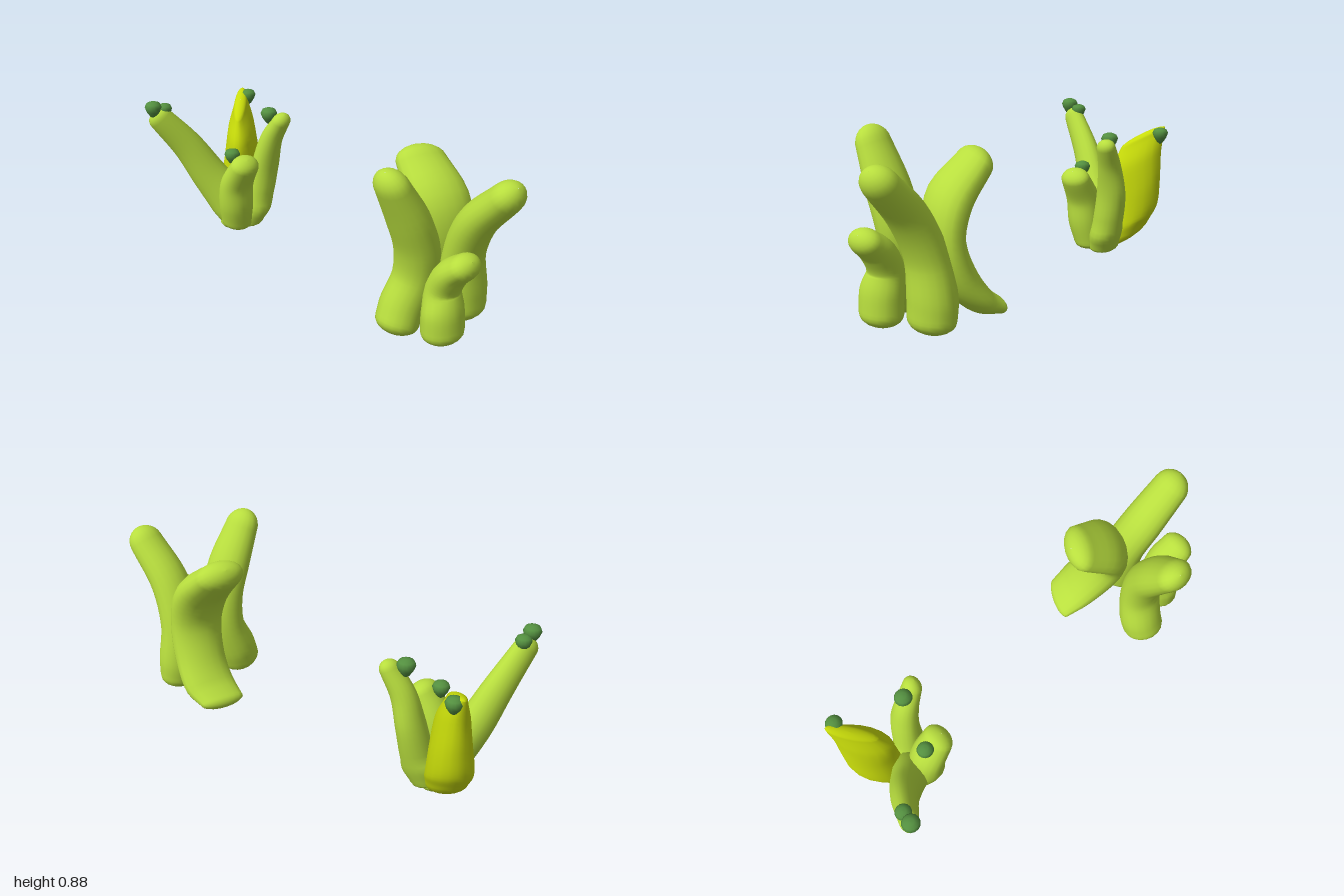
import * as THREE from 'three';

const LIME = new THREE.MeshStandardMaterial({ color: 0xb8de3e });
const YELLOW = new THREE.MeshStandardMaterial({ color: 0xc8dc0a });
const GREEN = new THREE.MeshStandardMaterial({ color: 0x549040 });
const SIDES = 18, STEPS = 22, CAP = 6;

// Fleshy lobe: sections are [x, y, z, halfWidth, halfDepth] from foot to tip,
// the width runs along "side"; both ends close with domes of the given heights.
function lobeGeometry(sections, side, footHeight, tipHeight) {
  const path = new THREE.CatmullRomCurve3(sections.map(s => new THREE.Vector3(s[0], s[1], s[2])));
  const radii = new THREE.CatmullRomCurve3(sections.map(s => new THREE.Vector3(s[3], s[4], 0)));
  const across = new THREE.Vector3(...side).normalize();
  const rings = [];
  for (let i = CAP; i > 0; i--) {
    const f = (i / CAP) * Math.PI / 2;
    rings.push([0, -footHeight * Math.sin(f), Math.max(0.02, Math.cos(f))]);
  }
  for (let i = 0; i <= STEPS; i++) rings.push([i / STEPS, 0, 1]);
  for (let i = 1; i <= CAP; i++) {
    const f = (i / CAP) * Math.PI / 2;
    rings.push([1, tipHeight * Math.sin(f), Math.max(0.02, Math.cos(f))]);
  }
  const positions = [], index = [];
  rings.forEach(([t, offset, scale], i) => {
    const tangent = path.getTangent(t);
    const center = path.getPoint(t).addScaledVector(tangent, offset);
    const depth = new THREE.Vector3().crossVectors(tangent, across).normalize();
    const r = radii.getPoint(t);
    for (let j = 0; j < SIDES; j++) {
      const angle = (j / SIDES) * Math.PI * 2;
      const p = center.clone()
        .addScaledVector(across, Math.cos(angle) * r.x * scale)
        .addScaledVector(depth, Math.sin(angle) * r.y * scale);
      positions.push(p.x, p.y, p.z);
      if (i < rings.length - 1) {
        const k = (j + 1) % SIDES, a = i * SIDES, b = a + SIDES;
        index.push(a + j, a + k, b + j, a + k, b + k, b + j);
      }
    }
  });
  const geometry = new THREE.BufferGeometry();
  geometry.setAttribute('position', new THREE.Float32BufferAttribute(positions, 3));
  geometry.setIndex(index);
  geometry.computeVertexNormals();
  return geometry;
}

function addLobe(group, name, material, side, footHeight, tipHeight, sections) {
  const mesh = new THREE.Mesh(lobeGeometry(sections, side, footHeight, tipHeight), material);
  mesh.name = name;
  group.add(mesh);
}

// Rounded bud, tapering downwards
const budProfile = [[0, -0.045], [0.018, -0.03], [0.034, -0.005], [0.042, 0.018], [0.034, 0.036], [0.016, 0.044], [0, 0.045]];
const budGeometry = new THREE.LatheGeometry(budProfile.map(p => new THREE.Vector2(...p)), 14);

export function createModel() {
  const model = new THREE.Group();
  model.name = 'succulentPair';

  // Front clump: four splayed lobes
  const front = new THREE.Group();
  front.name = 'frontClump';
  addLobe(front, 'frontLobe', LIME, [1, 0, 0], 0.065, 0.085, [
    [0.19, 0.11, 0.695, 0.117, 0.095], [0.19, 0.2, 0.69, 0.118, 0.1], [0.172, 0.38, 0.7, 0.105, 0.09],
    [0.15, 0.57, 0.78, 0.1, 0.085], [0.147, 0.74, 0.93, 0.088, 0.072]]);
  addLobe(front, 'backLobe', LIME, [0.9, 0, 0.35], 0.04, 0.075, [
    [0.25, 0.1, 0.365, 0.11, 0.037], [0.235, 0.15, 0.46, 0.125, 0.065], [0.2, 0.27, 0.55, 0.125, 0.08],
    [0.17, 0.43, 0.59, 0.13, 0.08], [0.16, 0.59, 0.55, 0.143, 0.09], [0.182, 0.728, 0.412, 0.118, 0.072]]);
  addLobe(front, 'sideLobe', LIME, [0, 0, 1], 0.06, 0.09, [
    [-0.122, 0.105, 0.59, 0.1, 0.1], [-0.095, 0.18, 0.59, 0.103, 0.1], [-0.05, 0.32, 0.615, 0.105, 0.09],
    [-0.057, 0.46, 0.63, 0.11, 0.092], [-0.112, 0.61, 0.63, 0.11, 0.088], [-0.205, 0.79, 0.62, 0.088, 0.068]]);
  addLobe(front, 'shortLobe', LIME, [1, 0, 0], 0.06, 0.06, [
    [-0.03, 0.105, 0.775, 0.104, 0.09], [-0.03, 0.2, 0.77, 0.104, 0.087], [-0.018, 0.3, 0.755, 0.086, 0.077],
    [-0.015, 0.39, 0.8, 0.09, 0.07], [-0.017, 0.45, 0.865, 0.083, 0.06]]);
  model.add(front);

  // Back clump: three green lobes and a broad yellow leaf, all tipped with buds
  const back = new THREE.Group();
  back.name = 'backClump';
  addLobe(back, 'yellowLeaf', YELLOW, [0.7, 0.45, -0.7], 0.075, 0.03, [
    [0.13, 0.11, -0.85, 0.138, 0.09], [0.153, 0.19, -0.873, 0.147, 0.105], [0.17, 0.33, -0.88, 0.14, 0.092],
    [0.17, 0.49, -0.88, 0.143, 0.068], [0.19, 0.6, -0.905, 0.125, 0.033]]);
  addLobe(back, 'leaningLobe', LIME, [-0.42, 0, 0.9], 0.04, 0.05, [
    [0.03, 0.06, -0.75, 0.085, 0.085], [0, 0.16, -0.785, 0.085, 0.105], [-0.075, 0.31, -0.85, 0.075, 0.092],
    [-0.158, 0.47, -0.9, 0.062, 0.078], [-0.28, 0.64, -0.95, 0.045, 0.062]]);
  addLobe(back, 'shortBackLobe', LIME, [1, 0, 0], 0.04, 0.05, [
    [0, 0.06, -0.72, 0.08, 0.08], [-0.015, 0.17, -0.7, 0.09, 0.085], [-0.02, 0.29, -0.68, 0.09, 0.075],
    [-0.02, 0.41, -0.61, 0.078, 0.062]]);
  addLobe(back, 'slimLobe', LIME, [1, 0, 0], 0.035, 0.045, [
    [0.085, 0.05, -0.725, 0.08, 0.075], [0.125, 0.17, -0.695, 0.08, 0.075], [0.16, 0.35, -0.67, 0.078, 0.062],
    [0.172, 0.5, -0.63, 0.06, 0.055], [0.19, 0.61, -0.57, 0.05, 0.042]]);

  // Root where the back lobes meet
  const root = new THREE.Mesh(new THREE.SphereGeometry(1, 18, 12), LIME);
  root.name = 'root';
  root.scale.set(0.11, 0.05, 0.08);
  root.position.set(0.04, 0.05, -0.75);
  back.add(root);

  // Buds: position and size
  const buds = [
    [-0.315, 0.69, -0.955, 1], [-0.252, 0.67, -0.95, 0.9], [0.27, 0.615, -0.94, 0.95],
    [-0.035, 0.44, -0.69, 0.95], [0.165, 0.625, -0.635, 1]];
  buds.forEach(([x, y, z, size], i) => {
    const bud = new THREE.Mesh(budGeometry, GREEN);
    bud.name = 'bud' + (i + 1);
    bud.position.set(x, y, z);
    bud.scale.setScalar(size);
    back.add(bud);
  });
  model.add(back);
  return model;
}
